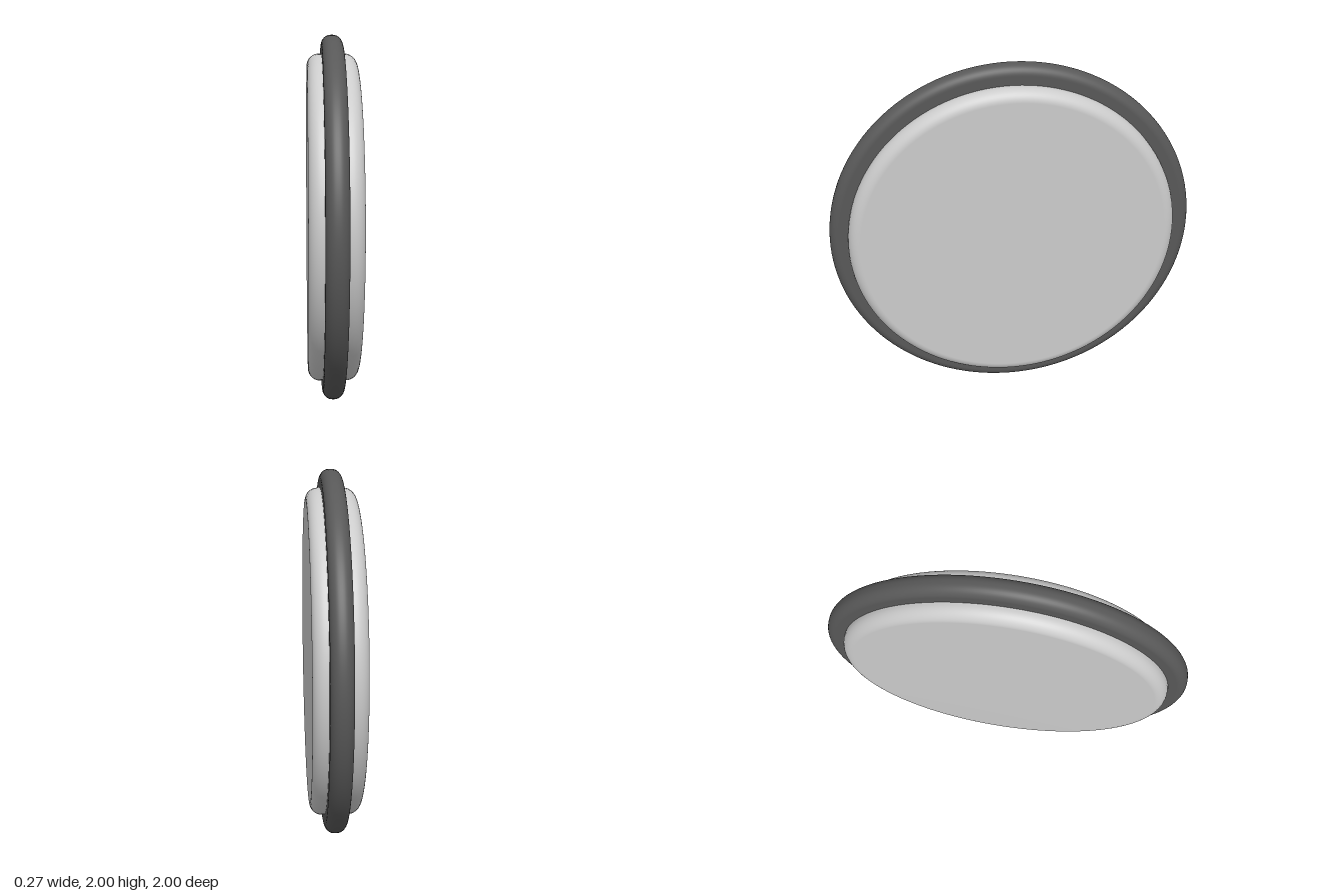
import * as THREE from 'three';

// Rounded-edge profile (radius, height) running from the lower to the upper face
function profile(inner, outer, half, fillet, steps = 10) {
  const pts = [new THREE.Vector2(inner, -half)];
  for (const side of [-1, 1]) {
    for (let i = 0; i <= steps; i++) {
      const t = (i / steps) * Math.PI / 2;
      const a = side < 0 ? t - Math.PI / 2 : t;
      pts.push(new THREE.Vector2(
        outer - fillet + Math.cos(a) * fillet,
        side * (half - fillet) + Math.sin(a) * fillet));
    }
  }
  pts.push(new THREE.Vector2(inner, half));
  return pts;
}

// Turn a profile around the x axis
function turned(name, pts, color) {
  const geo = new THREE.LatheGeometry(pts, 128);
  geo.rotateZ(-Math.PI / 2);
  const mesh = new THREE.Mesh(geo, new THREE.MeshStandardMaterial({ color }));
  mesh.name = name;
  mesh.position.y = 1;
  return mesh;
}

export function createModel() {
  const group = new THREE.Group();
  group.name = 'disc';
  // Thick pillow-edged core
  group.add(turned('core', profile(0, 0.9, 0.135, 0.065), 0xcccccc));
  // Thin dark band around it, its inner edge buried in the core
  group.add(turned('rim', profile(0.86, 1, 0.057, 0.052), 0x585858));
  return group;
}
